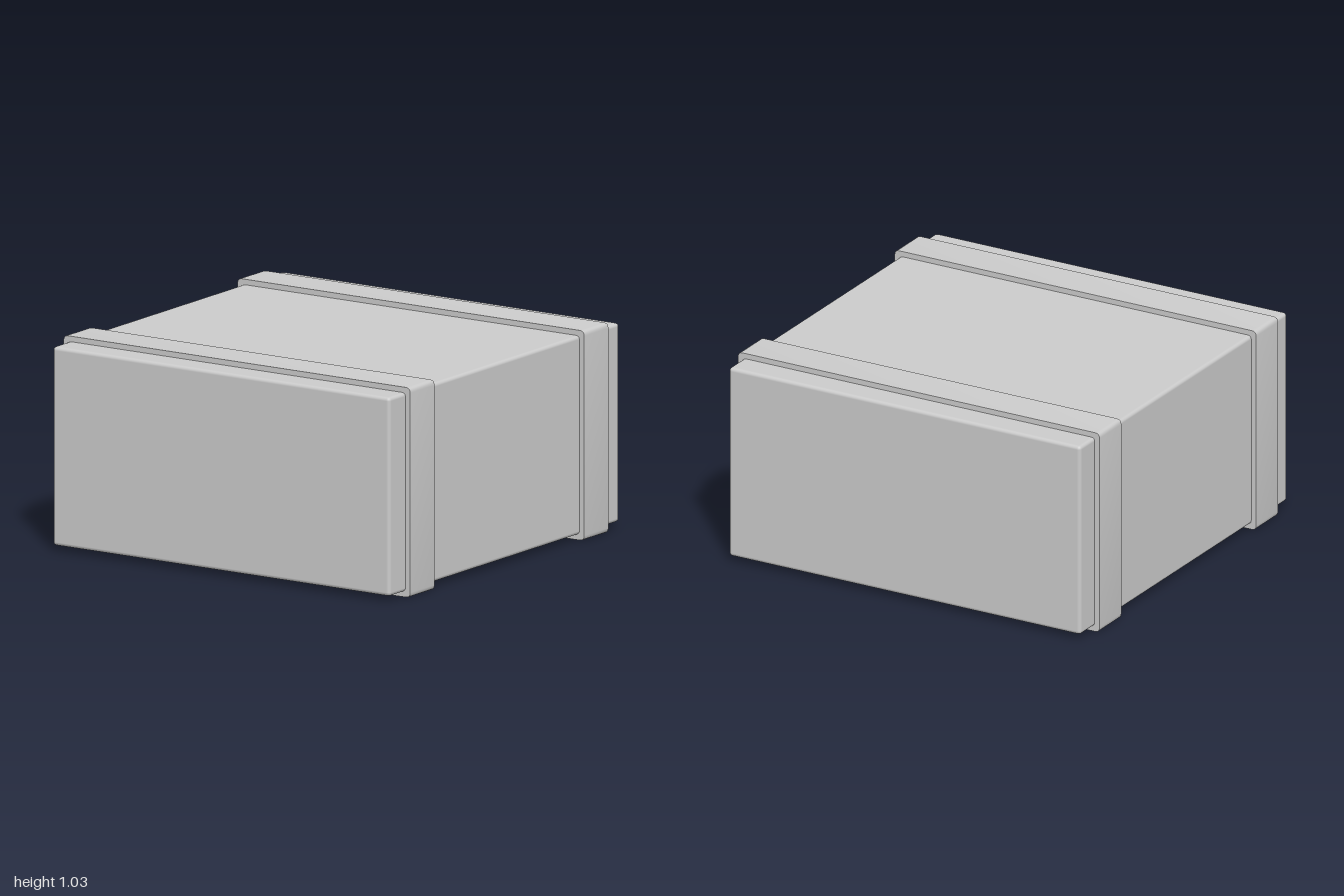
import * as THREE from 'three';
import { toCreasedNormals } from 'three/addons/utils/BufferGeometryUtils.js';
import { RoundedBoxGeometry } from 'three/addons/geometries/RoundedBoxGeometry.js';

const material = new THREE.MeshStandardMaterial({ color: 0xcccccc });

// Rounded rectangle outline centred on the origin
function roundedRect(path, w, h, r) {
  const x = w / 2, y = h / 2;
  path.moveTo(-x + r, -y);
  path.lineTo(x - r, -y);
  path.quadraticCurveTo(x, -y, x, -y + r);
  path.lineTo(x, y - r);
  path.quadraticCurveTo(x, y, x - r, y);
  path.lineTo(-x + r, y);
  path.quadraticCurveTo(-x, y, -x, y - r);
  path.lineTo(-x, -y + r);
  path.quadraticCurveTo(-x, -y, -x + r, -y);
  return path;
}

export function createModel() {
  const group = new THREE.Group();
  group.name = 'crate';
  const midY = 0.513;

  // Softly rounded block
  const body = new THREE.Mesh(new RoundedBoxGeometry(1.946, 0.972, 1.946, 2, 0.018), material);
  body.name = 'crateBody';
  body.position.y = midY;
  group.add(body);

  // Two bands wrapped around the block, near the front and the back
  const width = 0.205;
  const outline = roundedRect(new THREE.Shape(), 2, 1.026, 0.025);
  outline.holes.push(roundedRect(new THREE.Path(), 1.944, 0.97, 0.018));
  const extruded = new THREE.ExtrudeGeometry(outline, { depth: width, bevelEnabled: false, curveSegments: 4 });
  extruded.translate(0, 0, -width / 2);
  const bandGeometry = toCreasedNormals(extruded, Math.PI / 5);
  for (const [name, side] of [['frontBand', 1], ['backBand', -1]]) {
    const band = new THREE.Mesh(bandGeometry, material);
    band.name = name;
    band.position.set(0, midY, side * 0.735);
    group.add(band);
  }
  return group;
}
